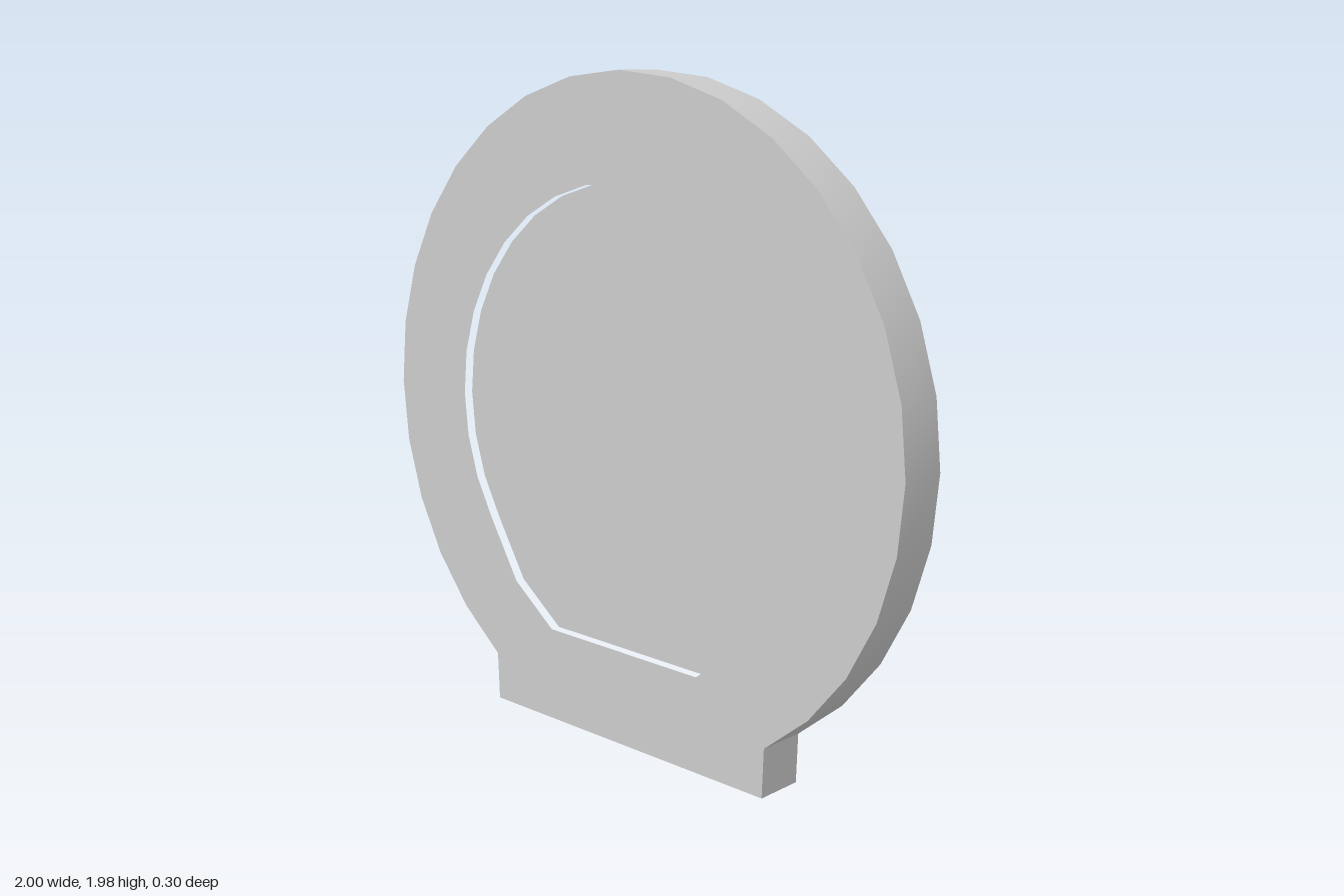
import * as THREE from 'three';
import { toCreasedNormals } from 'three/addons/utils/BufferGeometryUtils.js';

const material = new THREE.MeshStandardMaterial({ color: 0xcccccc });
const CENTER_Y = 0.98;
const STEP = Math.PI / 16; // 32-sided circles

function addMesh(parent, name, geometry) {
  const mesh = new THREE.Mesh(geometry, material);
  mesh.name = name;
  parent.add(mesh);
  return mesh;
}

// Points of a 32-sided arc over the top, from steps -n to +n (0 = top), left to right
function arc(radius, n) {
  const points = [];
  for (let i = -n; i <= n; i++) {
    points.push(new THREE.Vector2(radius * Math.sin(i * STEP), CENTER_Y + radius * Math.cos(i * STEP)));
  }
  return points;
}

function slab(shape, z0, z1) {
  const geometry = new THREE.ExtrudeGeometry(shape, { depth: z1 - z0, bevelEnabled: false });
  geometry.translate(0, 0, z0);
  return toCreasedNormals(geometry, 0.3);
}

// Cylinder whose axis runs along z
function disc(radius, z0, z1) {
  const geometry = new THREE.CylinderGeometry(radius, radius, z1 - z0, 48);
  geometry.rotateX(Math.PI / 2);
  geometry.translate(0, 0, (z0 + z1) / 2);
  return geometry;
}

export function createModel() {
  const model = new THREE.Group();
  model.name = 'vaultDoor';

  // Round frame with a flat foot, open in the middle
  const outline = [...arc(1, 13), new THREE.Vector2(0.55, 0), new THREE.Vector2(-0.55, 0)];
  const opening = [
    ...arc(0.69, 11),
    new THREE.Vector2(0.46, 0.41), new THREE.Vector2(0.3, 0.29),
    new THREE.Vector2(-0.3, 0.29), new THREE.Vector2(-0.46, 0.41),
  ];
  const frame = new THREE.Shape(outline);
  frame.holes.push(new THREE.Path(opening));
  addMesh(model, 'frame', slab(frame, 0, 0.15));

  // Panel filling the opening, set back on both faces
  addMesh(model, 'recessedPanel', slab(new THREE.Shape(opening), 0.03, 0.12));

  // Locking wheel on the back: base plate, hub and crossed handles
  const wheel = new THREE.Group();
  wheel.name = 'lockingWheel';
  wheel.position.y = 1.02;
  model.add(wheel);
  addMesh(wheel, 'wheelPlate', disc(0.38, -0.05, 0.03));
  addMesh(wheel, 'wheelHub', disc(0.163, -0.15, -0.05));
  for (const side of [-1, 1]) {
    const bar = addMesh(wheel, 'handleBar', new THREE.CylinderGeometry(0.026, 0.026, 0.935, 16));
    bar.position.set(-0.01, 0, -0.105);
    bar.rotation.z = side * Math.PI / 4;
  }

  return model;
}
